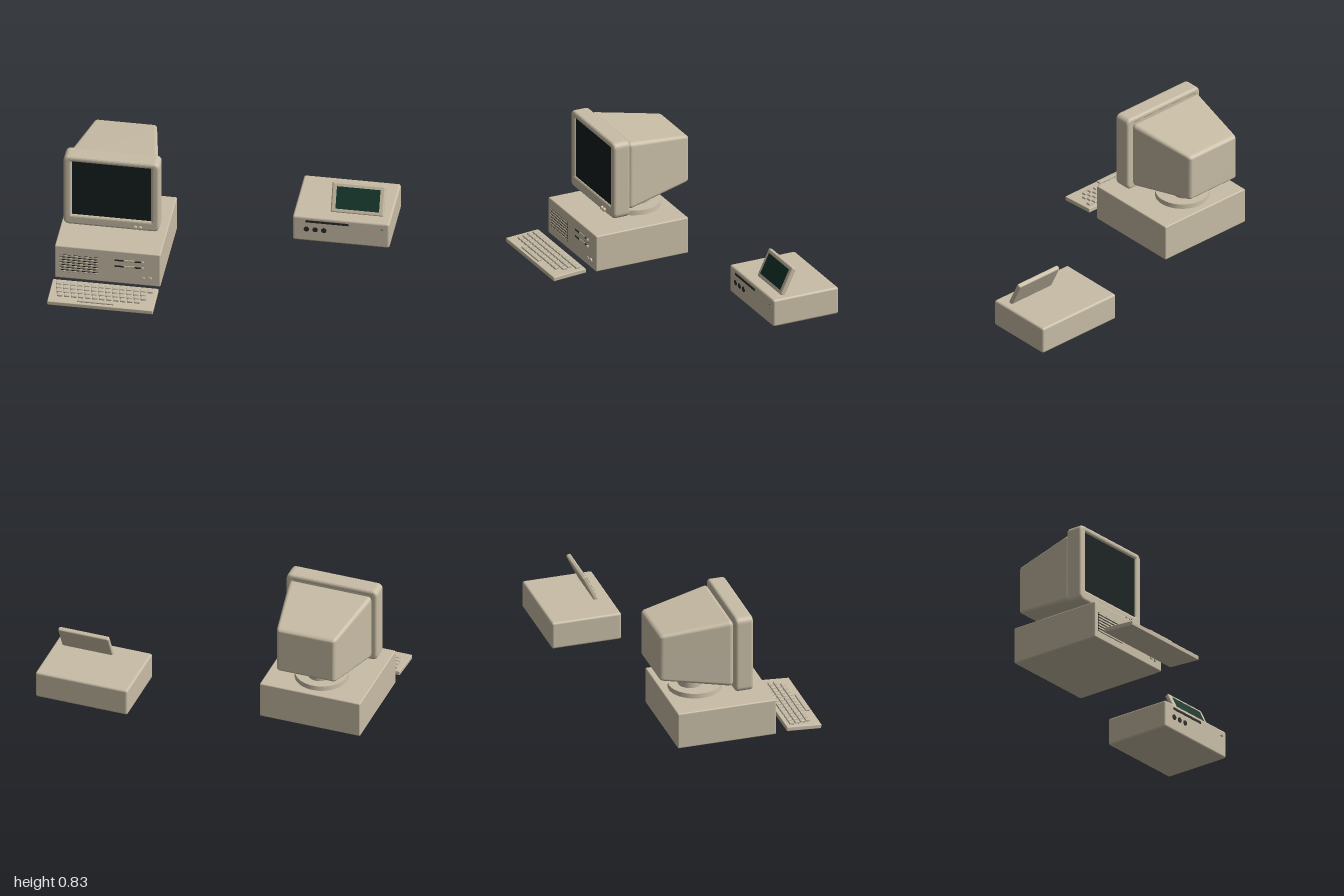
import * as THREE from 'three';
import { RoundedBoxGeometry } from 'three/addons/geometries/RoundedBoxGeometry.js';
import { mergeVertices } from 'three/addons/utils/BufferGeometryUtils.js';

const paint = (color) => new THREE.MeshStandardMaterial({ color });
const beige = paint(0xc8bda6);
const keyColor = paint(0xc4baa5);
const dark = paint(0x2a2a28);
const glass = paint(0x141c1c);
const greenGlass = paint(0x14352a);
const green = paint(0x4f8a4a);

function add(parent, name, geometry, material, x = 0, y = 0, z = 0) {
  const mesh = new THREE.Mesh(geometry, material);
  mesh.name = name;
  mesh.position.set(x, y, z);
  parent.add(mesh);
  return mesh;
}

function part(parent, name) {
  const group = new THREE.Group();
  group.name = name;
  parent.add(group);
  return group;
}

// Box centred at x, y, z; rounded when r is given
function box(parent, name, material, [w, h, d], [x, y, z], r = 0) {
  const geometry = r ? new RoundedBoxGeometry(w, h, d, 3, r) : new THREE.BoxGeometry(w, h, d);
  return add(parent, name, geometry, material, x, y, z);
}

// Round button or knob facing +z
function knob(parent, name, material, r, depth, x, y, z) {
  const geometry = new THREE.CylinderGeometry(r, r, depth, 20).rotateX(Math.PI / 2);
  return add(parent, name, geometry, material, x, y, z);
}

function roundedRect(path, w, h, r) {
  const x = w / 2, y = h / 2;
  path.moveTo(-x + r, -y);
  path.lineTo(x - r, -y);
  path.quadraticCurveTo(x, -y, x, -y + r);
  path.lineTo(x, y - r);
  path.quadraticCurveTo(x, y, x - r, y);
  path.lineTo(-x + r, y);
  path.quadraticCurveTo(-x, y, -x, y - r);
  path.lineTo(-x, -y + r);
  path.quadraticCurveTo(-x, -y, -x + r, -y);
  return path;
}

function monitor(root) {
  const g = part(root, 'monitor');
  g.position.x = -0.67;

  // Bezel frame with the screen opening
  const bevel = 0.018;
  const shape = roundedRect(new THREE.Shape(), 0.6 - 2 * bevel, 0.51 - 2 * bevel, 0.02);
  const opening = roundedRect(new THREE.Path(), 0.53, 0.428, 0.02);
  opening.curves.forEach((c) => ['v0', 'v1', 'v2'].forEach((k) => c[k] && (c[k].y += 0.017)));
  shape.holes.push(opening);
  const frame = new THREE.ExtrudeGeometry(shape, {
    depth: 0.115 - 2 * bevel, bevelSize: bevel, bevelThickness: bevel, bevelSegments: 4, curveSegments: 6,
  });
  add(g, 'bezel', frame, beige, 0, 0.575, 0.1 + bevel);
  box(g, 'bezelBack', beige, [0.54, 0.45, 0.03], [0, 0.577, 0.118]);
  box(g, 'screen', glass, [0.515, 0.415, 0.07], [0, 0.592, 0.168]);

  // Tube housing: rounded box narrowing towards the back
  const housing = new RoundedBoxGeometry(0.55, 0.455, 0.455, 4, 0.028);
  const p = housing.attributes.position;
  for (let i = 0; i < p.count; i++) {
    const t = 0.5 - p.getZ(i) / 0.455;
    p.setX(i, p.getX(i) * (1 - 0.3 * t));
    p.setY(i, p.getY(i) * (1 - 0.32 * t));
  }
  housing.deleteAttribute('uv');
  housing.deleteAttribute('normal');
  const smooth = mergeVertices(housing, 1e-5);
  smooth.computeVertexNormals();
  add(g, 'tubeHousing', smooth, beige, 0, 0.577, -0.132);

  // Adjusting buttons
  for (const x of [0.15, 0.182]) knob(g, 'monitorButton', beige, 0.011, 0.02, x, 0.347, 0.22);
  box(g, 'monitorLight', green, [0.007, 0.007, 0.004], [0.182, 0.347, 0.231]);

  // Swivel stand
  add(g, 'standDisc', new THREE.CylinderGeometry(0.165, 0.168, 0.03, 48), beige, 0, 0.265, -0.07);
  add(g, 'standNeck', new THREE.CylinderGeometry(0.077, 0.077, 0.045, 40), beige, 0, 0.3, -0.1);
}

function systemUnit(root) {
  const g = part(root, 'systemUnit');
  box(g, 'case', beige, [0.66, 0.24, 0.637], [-0.67, 0.13, 0.0335], 0.008);

  // Ventilation grille
  box(g, 'grilleBacking', dark, [0.24, 0.13, 0.004], [-0.85, 0.123, 0.351]);
  for (let i = 0; i < 7; i++) {
    box(g, 'grilleSlat', beige, [0.24, 0.011, 0.006], [-0.85, 0.066 + i * 0.019, 0.353]);
  }

  // Two disk drives with latches
  for (const y of [0.182, 0.138]) {
    box(g, 'driveSlot', dark, [0.185, 0.011, 0.004], [-0.535, y, 0.351]);
    box(g, 'driveLip', beige, [0.07, 0.016, 0.007], [-0.535, y, 0.352], 0.003);
    knob(g, 'driveLatch', beige, 0.01, 0.012, -0.452, y, 0.355);
  }
  box(g, 'driveDivider', dark, [0.185, 0.003, 0.003], [-0.535, 0.16, 0.3505]);
  knob(g, 'powerButton', beige, 0.013, 0.012, -0.405, 0.065, 0.355);
  box(g, 'resetButton', beige, [0.018, 0.014, 0.01], [-0.445, 0.065, 0.354], 0.003);
}

function keyboard(root) {
  const g = part(root, 'keyboard');
  g.position.set(-0.67, 0.026, 0.5325);
  g.rotation.x = 0.065;
  box(g, 'keyboardBase', beige, [0.66, 0.029, 0.224], [0, 0, 0], 0.005);

  // Staggered key rows: z, left edge, key count
  const rows = [[-0.071, -0.305, 14], [-0.033, -0.3, 13], [0.004, -0.292, 13], [0.041, -0.282, 12]];
  const pitch = 0.0438;
  for (const [z, left, count] of rows) {
    for (let i = 0; i < count; i++) {
      const x = left + (i + 0.5) * pitch;
      add(g, 'key', new RoundedBoxGeometry(0.035, 0.014, 0.031, 1, 0.004), keyColor, x, 0.021, z);
    }
  }
  box(g, 'spaceBar', keyColor, [0.225, 0.012, 0.03], [-0.03, 0.022, 0.082], 0.004);
}

function displayUnit(root) {
  const g = part(root, 'displayUnit');
  box(g, 'unitCase', beige, [0.605, 0.18, 0.45], [0.6975, 0.16, -0.425], 0.014);

  // Front slot, knobs and indicator
  box(g, 'frontSlot', dark, [0.27, 0.015, 0.006], [0.61, 0.219, -0.2]);
  for (const x of [0.482, 0.536, 0.59]) knob(g, 'controlKnob', dark, 0.017, 0.022, x, 0.161, -0.207);
  box(g, 'indicatorLight', green, [0.016, 0.008, 0.008], [0.953, 0.207, -0.2]);

  // Tilted display panel
  const panel = part(g, 'tiltedDisplay');
  panel.position.set(0.785, 0.33, -0.33);
  panel.rotation.x = -0.45;
  box(panel, 'displayPanel', beige, [0.332, 0.19, 0.03], [0, 0, 0], 0.01);
  box(panel, 'displayScreen', greenGlass, [0.272, 0.14, 0.004], [0, 0, 0.015]);
}

export function createModel() {
  const root = new THREE.Group();
  root.name = 'desktopComputerSet';
  monitor(root);
  systemUnit(root);
  keyboard(root);
  displayUnit(root);
  return root;
}
